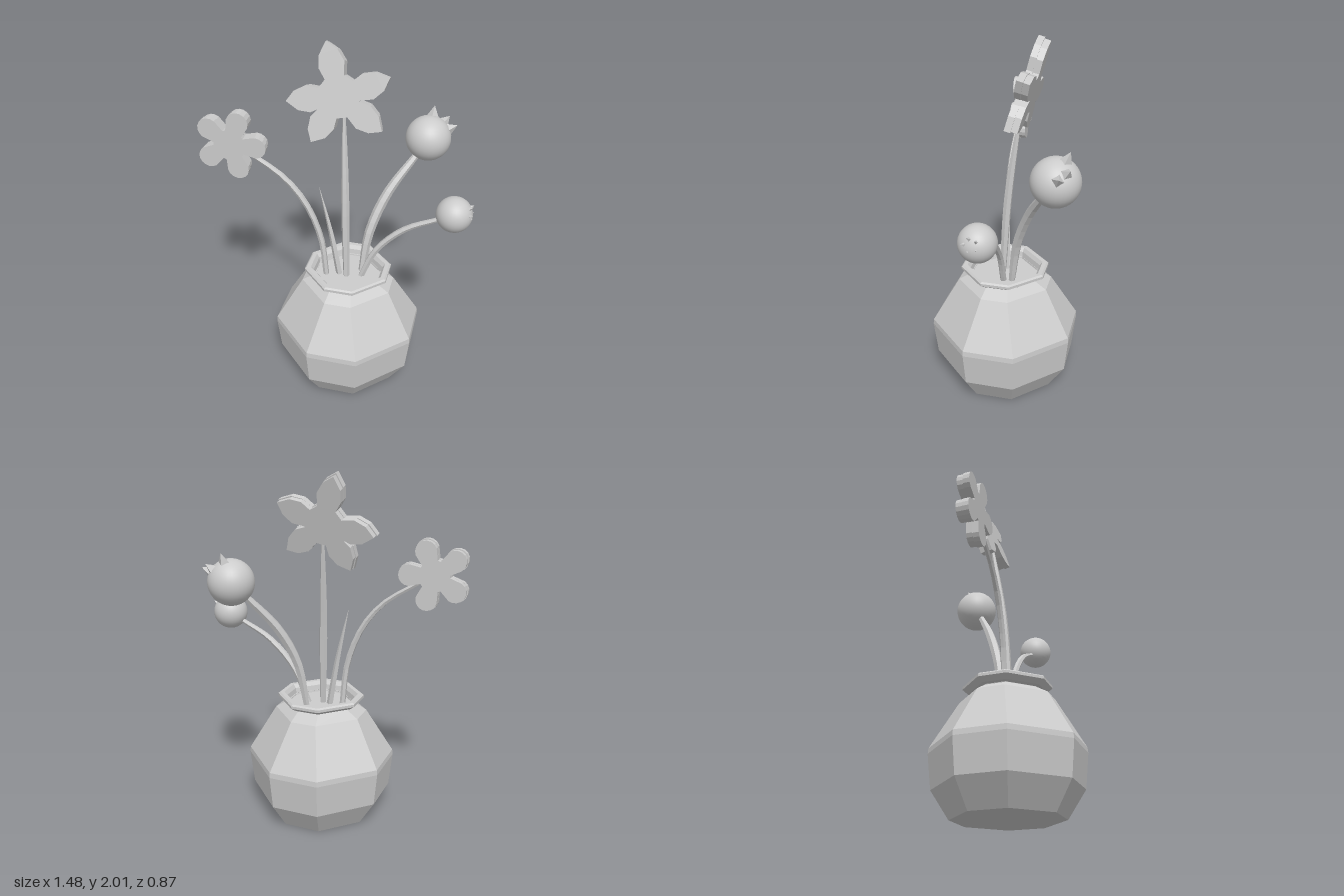
import * as THREE from 'three';

const flat = new THREE.MeshStandardMaterial({ color: 0xcccccc, flatShading: true, side: THREE.DoubleSide });
const smooth = new THREE.MeshStandardMaterial({ color: 0xcccccc });
const V = (p) => new THREE.Vector3(...p);

function add(parent, name, geometry, material = flat) {
  const mesh = new THREE.Mesh(geometry, material);
  mesh.name = name;
  parent.add(mesh);
  return mesh;
}

// Stack of chamfered-square rings: [y, half width, half length of the straight sides]
function octagonRings(profile) {
  const pos = [], index = [];
  for (const [y, a, h] of profile) {
    for (const [x, z] of [[a, h], [a, -h], [h, -a], [-h, -a], [-a, -h], [-a, h], [-h, a], [h, a]]) pos.push(x, y, z);
  }
  for (let r = 0; r < profile.length - 1; r++) {
    for (let i = 0; i < 8; i++) {
      const a = r * 8 + i, b = r * 8 + (i + 1) % 8;
      index.push(a, b, b + 8, a, b + 8, a + 8);
    }
  }
  const g = new THREE.BufferGeometry();
  g.setAttribute('position', new THREE.Float32BufferAttribute(pos, 3));
  g.setIndex(index);
  const out = g.toNonIndexed();
  out.computeVertexNormals();
  return out;
}

// Tube along a curve whose radius follows a rule of t
function taperedTube(points, radiusAt, sides = 6, segments = 12) {
  const curve = new THREE.CatmullRomCurve3(points.map(V));
  const g = new THREE.TubeGeometry(curve, segments, 1, sides);
  const p = g.attributes.position, v = new THREE.Vector3();
  for (let i = 0; i < p.count; i++) {
    const t = Math.floor(i / (sides + 1)) / segments;
    const c = curve.getPointAt(t);
    v.fromBufferAttribute(p, i).sub(c).multiplyScalar(radiusAt(t)).add(c);
    p.setXYZ(i, v.x, v.y, v.z);
  }
  g.computeVertexNormals();
  return g;
}

// Flower outline: the petal rule [distance, sideways] is repeated at each angle
function flowerShape(angles, petal) {
  const pts = [];
  for (const deg of angles) {
    const a = THREE.MathUtils.degToRad(deg), c = Math.cos(a), s = Math.sin(a);
    for (const [d, w] of petal) pts.push(new THREE.Vector2(d * c - w * s, d * s + w * c));
  }
  return new THREE.Shape(pts);
}

// Two stacked layers of the same petals
function flower(name, shape, thickness, backScale) {
  const group = new THREE.Group();
  group.name = name;
  const g = new THREE.ExtrudeGeometry(shape, { depth: thickness / 2, bevelEnabled: false });
  add(group, 'frontPetals', g);
  const back = add(group, 'backPetals', g);
  back.position.z = -thickness / 2;
  back.scale.set(backScale, backScale, 1);
  return group;
}

// Round seed head with small spikes pointing at the given directions
function seedHead(name, center, radius, spikes, spikeRadius) {
  const group = new THREE.Group();
  group.name = name;
  group.position.set(...center);
  add(group, 'ball', new THREE.SphereGeometry(radius, 32, 20), smooth);
  for (const s of spikes) {
    const tip = V(s), length = tip.length() - radius * 0.9;
    const cone = add(group, 'spike', new THREE.ConeGeometry(spikeRadius, length, 4));
    const dir = tip.clone().normalize();
    cone.quaternion.setFromUnitVectors(new THREE.Vector3(0, 1, 0), dir);
    cone.position.copy(dir).multiplyScalar(radius * 0.9 + length / 2);
  }
  return group;
}

export function createModel() {
  const model = new THREE.Group();
  model.name = 'flowerVase';

  // Faceted vase with a hollow rim
  const vase = new THREE.Group();
  vase.name = 'vase';
  vase.position.set(0.068, 0, 0.034);
  model.add(vase);
  add(vase, 'body', octagonRings([
    [0, 0, 0], [0, 0.288, 0.105], [0.155, 0.383, 0.136], [0.35, 0.403, 0.143], [0.38, 0.4, 0.142],
    [0.64, 0.255, 0.075], [0.685, 0.18, 0.06],
  ]));
  add(vase, 'rim', octagonRings([
    [0.685, 0.18, 0.06], [0.69, 0.205, 0.068], [0.713, 0.237, 0.08], [0.728, 0.237, 0.08], [0.736, 0.228, 0.075],
    [0.736, 0.205, 0.065], [0.715, 0.19, 0.06], [0.66, 0.18, 0.055],
  ]));
  add(vase, 'filling', octagonRings([[0.675, 0.185, 0.058], [0.675, 0, 0]]));

  // Stems and leaf
  const stem = (r, end) => (t) => r * (t < 0.6 ? 1 : 1 - (1 - end) * (t - 0.6) / 0.4);
  add(model, 'smallFlowerStem', taperedTube(
    [[-0.055, 0.66, 0.06], [-0.085, 0.93, 0.065], [-0.17, 1.15, 0.07], [-0.29, 1.3, 0.075], [-0.5, 1.44, 0.08]],
    stem(0.017, 0.7)));
  add(model, 'largeFlowerStem', taperedTube(
    [[0.062, 0.66, 0.05], [0.045, 1.15, 0.02], [0.02, 1.65, -0.045]],
    (t) => 0.017 + 0.008 * Math.sin(Math.PI * t) - 0.009 * t * t));
  add(model, 'largeHeadStem', taperedTube(
    [[0.135, 0.66, -0.02], [0.17, 0.93, -0.06], [0.25, 1.15, -0.14], [0.39, 1.36, -0.26]],
    (t) => 0.018 + 0.01 * Math.sin(Math.PI * t)));
  add(model, 'smallHeadStem', taperedTube(
    [[0.14, 0.66, 0.025], [0.23, 0.87, 0.022], [0.38, 1.03, 0.02], [0.57, 1.13, 0.02]],
    stem(0.018, 0.7)));
  add(model, 'leaf', taperedTube(
    [[0.018, 0.66, 0.04], [-0.03, 0.95, 0.045], [-0.092, 1.25, 0.055]],
    (t) => 0.018 * (1 - t * t) + 0.0005, 4));

  // Large flower with pointed petals, leaning back
  const pointed = [[0.1, -0.055], [0.17, -0.072], [0.235, -0.05], [0.285, 0], [0.225, 0.052], [0.16, 0.068], [0.1, 0.05]];
  const large = flower('largeFlower', flowerShape([-118, -33, 25, 107, 190], pointed), 0.07, 0.97);
  large.position.set(-0.01, 1.735, -0.075);
  large.rotation.x = -0.25;
  model.add(large);

  // Small flower with rounded petals
  const rounded = [[0.075, -0.045]];
  for (let i = 0; i <= 8; i++) {
    const a = -Math.PI / 2 + Math.PI * i / 8;
    rounded.push([0.14 + 0.06 * Math.cos(a), 0.06 * Math.sin(a)]);
  }
  rounded.push([0.075, 0.045]);
  const small = flower('smallFlower', flowerShape([-1, 69, 142, 214, 286], rounded), 0.07, 0.97);
  small.position.set(-0.567, 1.475, 0.085);
  small.rotation.y = 0.045;
  model.add(small);

  // Round seed heads
  model.add(seedHead('largeSeedHead', [0.435, 1.435, -0.31], 0.126,
    [[0.015, 0.165, -0.07], [0.15, 0.075, -0.04], [0.1, 0.105, -0.085]], 0.036));
  const dots = [];
  for (let i = 0; i < 5; i++) {
    const a = i / 5 * Math.PI * 2;
    dots.push([0.1, 0.037 + 0.04 * Math.sin(a), 0.012 + 0.04 * Math.cos(a)]);
  }
  model.add(seedHead('smallSeedHead', [0.64, 1.172, 0.022], 0.098, dots, 0.014));

  return model;
}
